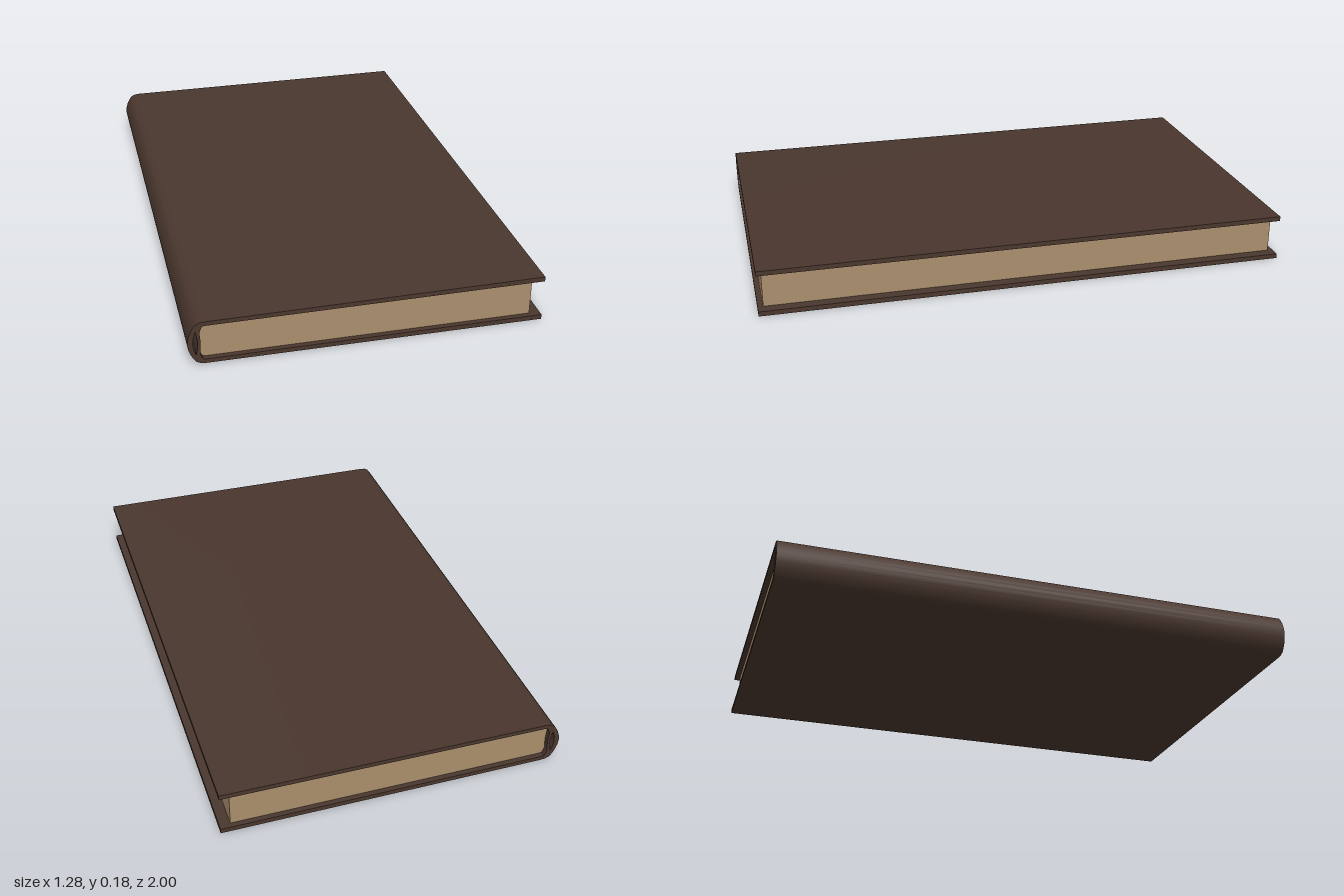
import * as THREE from 'three';
import { toCreasedNormals } from 'three/addons/utils/BufferGeometryUtils.js';

const MID = 0.088; // height of the book's horizontal mid plane

// Mirrors the upper half of a profile below the mid plane (points run from mid plane outward).
const mirrored = half => [
  ...half.slice().reverse().map(([x, y]) => new THREE.Vector2(x, MID + y)),
  ...half.filter(([, y]) => y > 0).map(([x, y]) => new THREE.Vector2(x, MID - y)),
];

// Extrudes a closed outline along z, centred, with soft shading on curved parts.
function slab(name, points, length, material) {
  const geometry = new THREE.ExtrudeGeometry(new THREE.Shape(points), { depth: length, bevelEnabled: false });
  geometry.translate(0, 0, -length / 2);
  const mesh = new THREE.Mesh(toCreasedNormals(geometry, 0.6), material);
  mesh.name = name;
  return mesh;
}

export function createModel() {
  const book = new THREE.Group();
  book.name = 'book';
  const leather = new THREE.MeshStandardMaterial({ color: 0x4a372e });
  leather.name = 'dark brown leather';
  const paper = new THREE.MeshStandardMaterial({ color: 0xaa8e6c });
  paper.name = 'aged paper';

  // Wrap-around cover: two boards joined by a rounded spine
  const outer = [[-0.64, 0], [-0.637, 0.022], [-0.63, 0.043], [-0.621, 0.06], [-0.61, 0.074], [-0.595, 0.081],
    [-0.575, 0.083], [0.64, 0.088]];
  const inner = [[-0.621, 0], [-0.619, 0.02], [-0.614, 0.037], [-0.607, 0.053], [-0.598, 0.064], [-0.575, 0.067],
    [0.64, 0.07]];
  book.add(slab('cover', [...mirrored(outer), ...mirrored(inner).reverse()], 2, leather));

  // Curved lining between the hollow spine and the pages
  const liningBack = [[-0.604, 0], [-0.606, 0.02], [-0.61, 0.04], [-0.61, 0.056], [-0.6, 0.067]];
  const liningFront = [[-0.594, 0], [-0.595, 0.02], [-0.597, 0.04], [-0.592, 0.056], [-0.586, 0.067]];
  book.add(slab('spineLining', [...mirrored(liningBack), ...mirrored(liningFront).reverse()], 2, leather));

  // Page block, set in from the cover on three sides
  const pages = [[-0.596, 0], [-0.598, 0.04], [-0.593, 0.056], [-0.584, 0.069], [0.6, 0.072]];
  book.add(slab('pages', mirrored(pages), 1.96, paper));

  return book;
}
